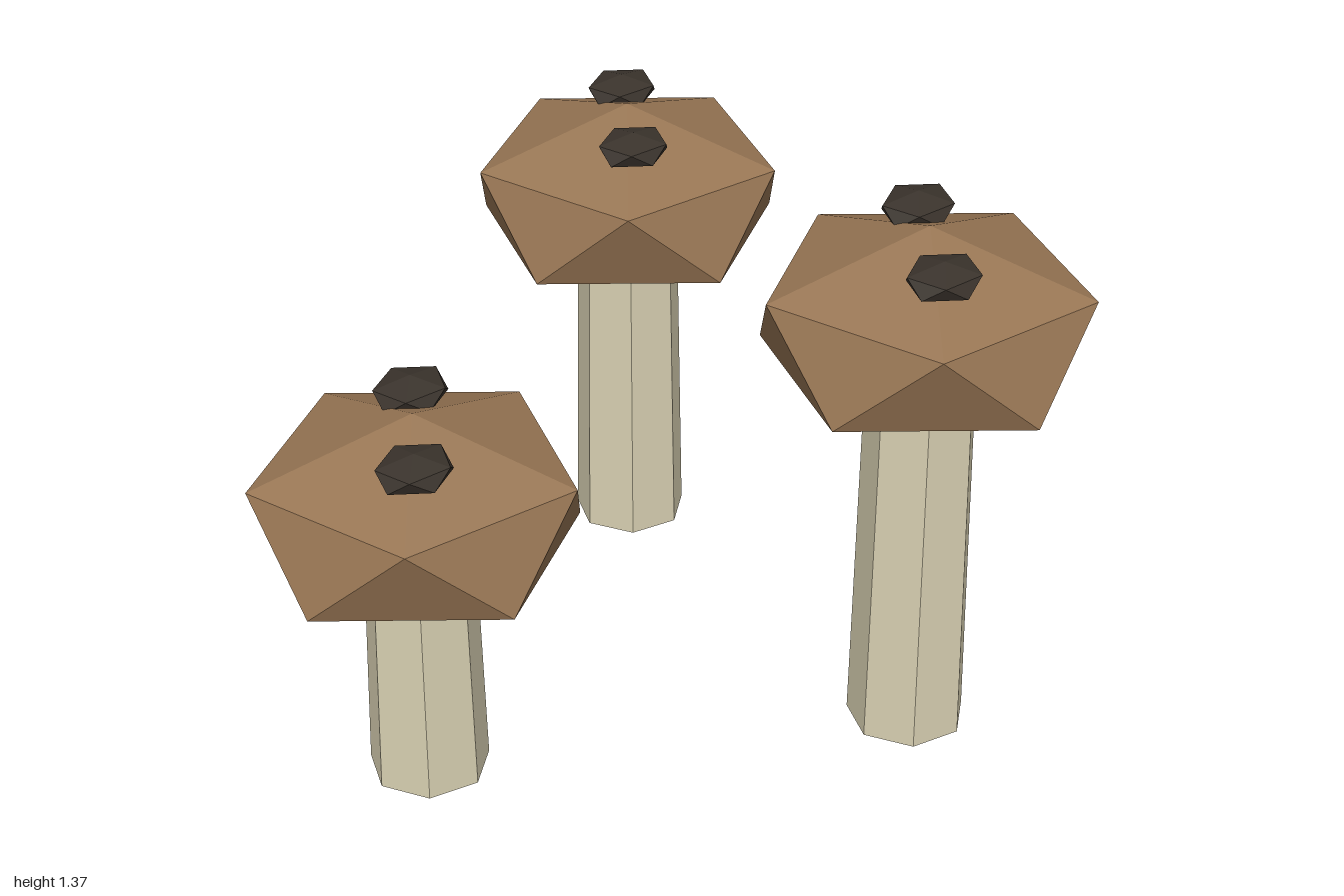
import * as THREE from 'three';

const material = (name, color) => {
  const m = new THREE.MeshStandardMaterial({ color, flatShading: true });
  m.name = name;
  return m;
};

// Icosahedron standing on a point, squashed to the given radii
function squashedIcosahedron(rx, ry, rz) {
  const g = new THREE.IcosahedronGeometry(1, 0);
  g.rotateZ(-Math.atan(2 / (1 + Math.sqrt(5))));
  g.scale(rx, ry, rz);
  return g;
}

export function createModel() {
  const model = new THREE.Group();
  model.name = 'mushrooms';

  const stemMaterial = material('pale stem', 0xd8d0b2);
  const capMaterial = material('brown cap', 0x987654);
  const spotMaterial = material('dark spot', 0x3a332c);

  const capGeometry = squashedIcosahedron(0.438, 0.24, 0.438);
  const spotGeometry = squashedIcosahedron(0.106, 0.04, 0.094);

  const add = (group, name, geometry, mat, x, y, z) => {
    const mesh = new THREE.Mesh(geometry, mat);
    mesh.name = name;
    mesh.position.set(x, y, z);
    group.add(mesh);
  };

  // x, z and height of the cap's middle
  const mushrooms = [
    ['leftFrontMushroom', 0.228, 0.556, 1.113],
    ['leftBackMushroom', 0.608, -0.558, 0.967],
    ['rightMushroom', -0.608, -0.282, 0.743],
  ];

  for (const [name, x, z, capY] of mushrooms) {
    const mushroom = new THREE.Group();
    mushroom.name = name;
    mushroom.position.set(x, 0, z);

    // Seven-sided tapered stem, ending inside the cap
    const height = capY - 0.13;
    add(mushroom, 'stem', new THREE.CylinderGeometry(0.133, 0.147, height, 7), stemMaterial, 0, height / 2, 0);
    add(mushroom, 'cap', capGeometry, capMaterial, 0, capY, 0);

    // Two flat spots resting on the cap
    add(mushroom, 'spot', spotGeometry, spotMaterial, 0.115, capY + 0.212, -0.1);
    add(mushroom, 'spot', spotGeometry, spotMaterial, -0.146, capY + 0.211, 0.124);
    model.add(mushroom);
  }
  return model;
}
